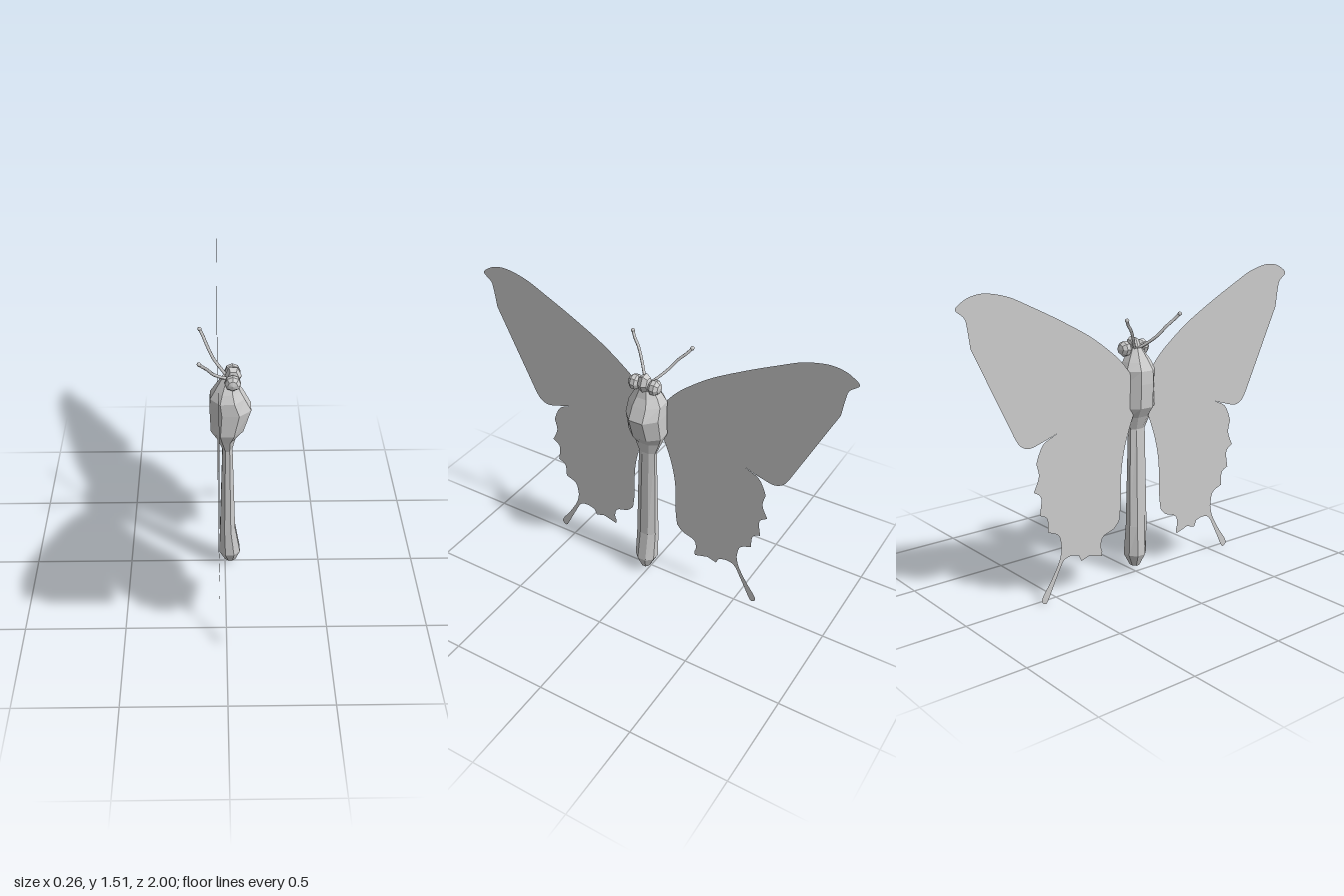
import * as THREE from 'three';

const MID_Z = 0.013; // body centre line
const SIDES = 8;
const bodyMat = new THREE.MeshStandardMaterial({ color: 0xcccccc, flatShading: true });
const smoothMat = new THREE.MeshStandardMaterial({ color: 0xcccccc });
const wingMat = new THREE.MeshStandardMaterial({ color: 0xcccccc, side: THREE.DoubleSide });

function add(parent, name, geometry, material) {
  const mesh = new THREE.Mesh(geometry, material);
  mesh.name = name;
  parent.add(mesh);
  return mesh;
}

// Closed octagonal loft through rings of [y, xMin, xMax, halfDepth], listed upwards
function loft(rings) {
  const pos = [], index = [];
  const k = Math.cos(Math.PI / SIDES);
  for (const [y, x0, x1, h] of rings) {
    for (let i = 0; i < SIDES; i++) {
      const a = ((i + 0.5) / SIDES) * Math.PI * 2;
      pos.push((x0 + x1) / 2 + (Math.cos(a) / k) * (x1 - x0) / 2, y, MID_Z + (Math.sin(a) / k) * h);
    }
  }
  const top = (rings.length - 1) * SIDES;
  for (let i = 0; i < SIDES; i++) {
    const n = (i + 1) % SIDES;
    for (let j = 0; j < top; j += SIDES) {
      const a = j + i, b = j + n, c = b + SIDES, d = a + SIDES;
      index.push(a, d, b, b, d, c);
    }
    if (i > 0 && i < SIDES - 1) {
      index.push(0, i, i + 1, top, top + i + 1, top + i); // end caps
    }
  }
  const g = new THREE.BufferGeometry();
  g.setAttribute('position', new THREE.Float32BufferAttribute(pos, 3));
  g.setIndex(index);
  g.computeVertexNormals();
  return g;
}

const points = (list) => list.map(([x, y]) => new THREE.Vector2(x, y));

// Flat wing: smooth leading edge, tip, notch, scalloped hind edge and tail
function wingGeometry() {
  const s = new THREE.Shape();
  s.moveTo(0.03, 0.88);
  s.lineTo(0.03, 1.02);
  s.lineTo(0.08, 1.08);
  s.splineThru(points([[0.11, 1.115], [0.17, 1.17], [0.3, 1.265], [0.47, 1.36], [0.62, 1.435],
    [0.74, 1.49], [0.855, 1.515], [0.935, 1.505], [0.99, 1.475]]));
  s.splineThru(points([[1.0, 1.455], [0.96, 1.42], [0.948, 1.38], [0.935, 1.285]]));
  s.lineTo(0.73, 0.855);
  s.splineThru(points([[0.7, 0.81], [0.65, 0.79], [0.57, 0.81], [0.495, 0.835]]));
  s.splineThru(points([[0.57, 0.8], [0.6, 0.755], [0.617, 0.71]]));
  // scallops
  const scallops = [[[0.605, 0.645], [0.635, 0.575]], [[0.595, 0.54], [0.605, 0.455]],
    [[0.565, 0.43], [0.56, 0.36]], [[0.5, 0.33], [0.485, 0.26]]];
  for (const [mid, end] of scallops) s.splineThru(points([mid, end]));
  // tail
  s.splineThru(points([[0.5, 0.2], [0.545, 0.12], [0.595, 0.05]]));
  s.splineThru(points([[0.606, 0.02], [0.582, 0.002], [0.56, 0.035]]));
  s.splineThru(points([[0.515, 0.125], [0.475, 0.195], [0.43, 0.21], [0.385, 0.2]]));
  // lower fringe and inner edge
  for (const p of [[0.37, 0.167], [0.32, 0.182], [0.245, 0.16], [0.242, 0.185]]) s.lineTo(...p);
  s.splineThru(points([[0.25, 0.215], [0.235, 0.26], [0.17, 0.285], [0.135, 0.32]]));
  s.splineThru(points([[0.125, 0.405], [0.12, 0.57], [0.1, 0.685], [0.07, 0.78], [0.03, 0.88]]));
  return new THREE.ShapeGeometry(s, 5).rotateY(-Math.PI / 2);
}

export function createModel() {
  const model = new THREE.Group();
  model.name = 'butterfly';

  add(model, 'abdomen', loft([
    [0.03, 0.0, 0.055, 0.022],
    [0.095, -0.03, 0.078, 0.055],
    [0.255, -0.026, 0.052, 0.055],
    [0.78, -0.013, 0.036, 0.045],
  ]), bodyMat);

  add(model, 'thorax', loft([
    [0.76, -0.012, 0.035, 0.044],
    [0.83, -0.04, 0.05, 0.07],
    [0.88, -0.07, 0.088, 0.09],
    [1.0, -0.075, 0.125, 0.091],
    [1.065, -0.073, 0.092, 0.088],
    [1.105, -0.05, 0.07, 0.068],
    [1.17, -0.012, 0.05, 0.028],
  ]), bodyMat);

  // Head with a faceted eye on each side
  const head = add(model, 'head', new THREE.SphereGeometry(0.048, 6, 4).rotateX(Math.PI / 2), bodyMat);
  head.scale.set(0.85, 1.1, 0.7);
  head.position.set(0.038, 1.173, MID_Z);

  const wing = wingGeometry();
  for (const [side, s] of [['front', 1], ['rear', -1]]) {
    const eye = add(model, side + 'Eye', new THREE.SphereGeometry(0.04, 8, 5).rotateX(Math.PI / 2), bodyMat);
    eye.scale.z = 0.85;
    eye.position.set(0.035, 1.165, MID_Z + s * 0.053);

    // Antenna: curved stalk with a small rounded tip
    const path = [[0.01, 1.165, 0.01], [-0.015, 1.185, 0.035], [-0.055, 1.225, 0.073],
      [-0.085, 1.275, 0.11], [-0.105, 1.31, 0.145], [-0.12, 1.334, 0.163]]
      .map(([x, y, z]) => new THREE.Vector3(x, y, MID_Z + s * z));
    const antenna = new THREE.Group();
    antenna.name = side + 'Antenna';
    add(antenna, 'stalk', new THREE.TubeGeometry(new THREE.CatmullRomCurve3(path), 16, 0.0075, 6), smoothMat);
    add(antenna, 'tip', new THREE.SphereGeometry(0.0105, 8, 6), smoothMat).position.copy(path[5]);
    model.add(antenna);

    const wingMesh = add(model, side + 'Wing', wing, wingMat);
    wingMesh.position.x = -0.035;
    wingMesh.scale.z = s;
  }
  return model;
}
